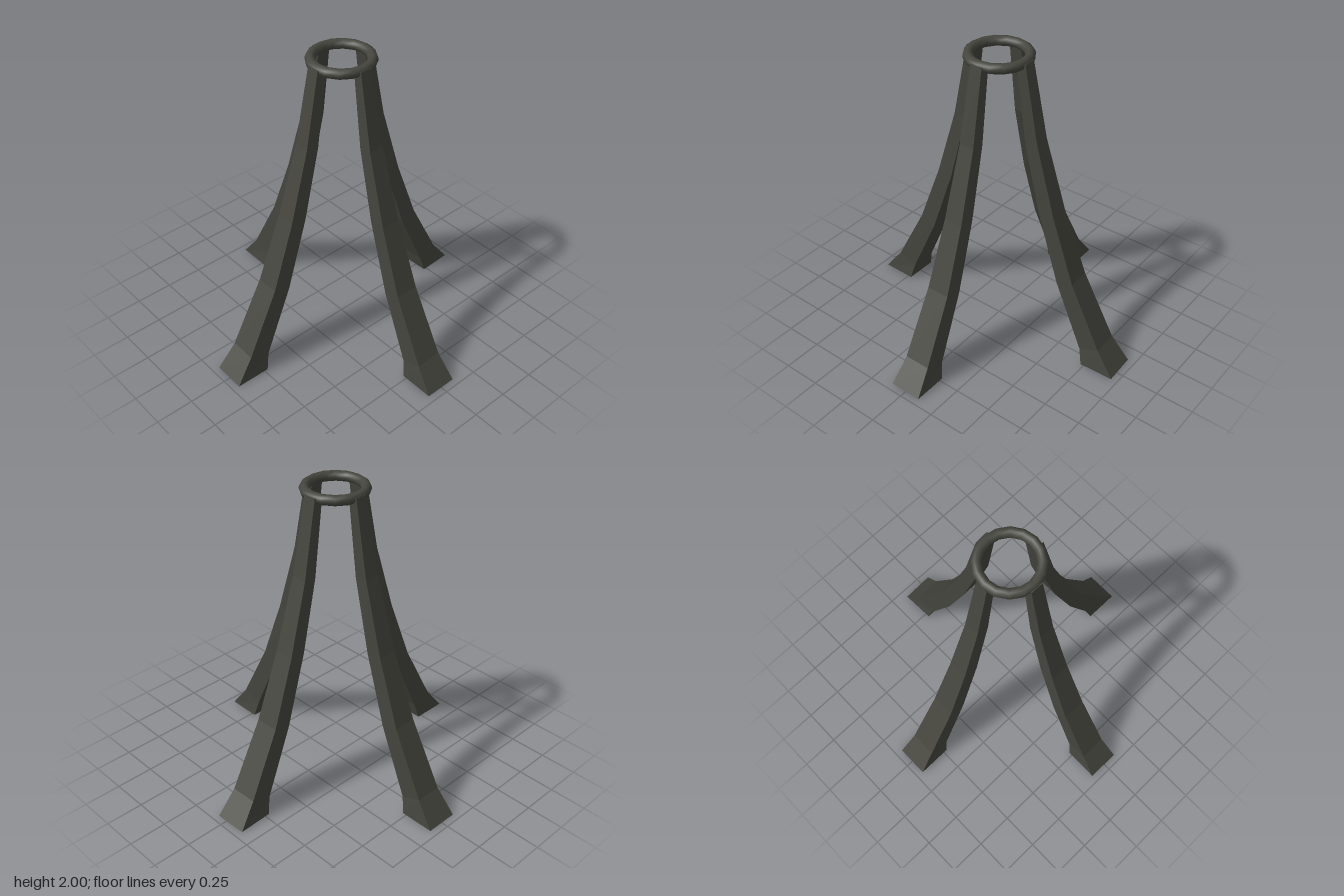
import * as THREE from 'three';

// Leg cross-sections from foot to top: [outer radius, outer y, inner radius, inner y, half width]
const SECTIONS = [
  [0.953, 0, 0.725, 0, 0.108],
  [0.832, 0.16, 0.697, 0.11, 0.088],
  [0.612, 0.585, 0.5, 0.55, 0.077],
  [0.45, 1.02, 0.345, 1.01, 0.064],
  [0.31, 1.49, 0.225, 1.48, 0.051],
  [0.213, 1.98, 0.155, 1.96, 0.042],
];

// Loft the rectangular sections into a flared leg leaning out along +x
function legGeometry() {
  const pos = [], index = [];
  for (const [ro, yo, ri, yi, w] of SECTIONS) {
    pos.push(ro, yo, w, ro, yo, -w, ri, yi, -w, ri, yi, w);
  }
  const quad = (a, b, c, d) => index.push(a, b, c, a, c, d);
  const last = (SECTIONS.length - 1) * 4;
  for (let s = 0; s < last; s += 4) {
    for (let i = 0; i < 4; i++) {
      const j = (i + 1) % 4;
      quad(s + i, s + j, s + 4 + j, s + 4 + i);
    }
  }
  quad(3, 2, 1, 0); // sole
  quad(last, last + 1, last + 2, last + 3); // top cap
  const indexed = new THREE.BufferGeometry();
  indexed.setAttribute('position', new THREE.Float32BufferAttribute(pos, 3));
  indexed.setIndex(index);
  const geo = indexed.toNonIndexed();
  geo.computeVertexNormals();
  return geo;
}

export function createModel() {
  const group = new THREE.Group();
  const iron = new THREE.MeshStandardMaterial({ color: 0x45453e });
  iron.name = 'dark iron';

  // Four splayed legs, the side ones set very slightly askew
  const geo = legGeometry();
  const legs = {
    leftLeg: 0.039,
    backLeg: Math.PI / 2,
    rightLeg: Math.PI - 0.011,
    frontLeg: -Math.PI / 2 - 0.003,
  };
  for (const [name, angle] of Object.entries(legs)) {
    const leg = new THREE.Mesh(geo, iron);
    leg.name = name;
    leg.rotation.y = angle;
    group.add(leg);
  }

  // Ring joining the leg tops
  const ring = new THREE.Mesh(new THREE.TorusGeometry(0.182, 0.032, 10, 16), iron);
  ring.name = 'topRing';
  ring.rotation.x = Math.PI / 2;
  ring.position.y = 1.968;
  group.add(ring);

  return group;
}
